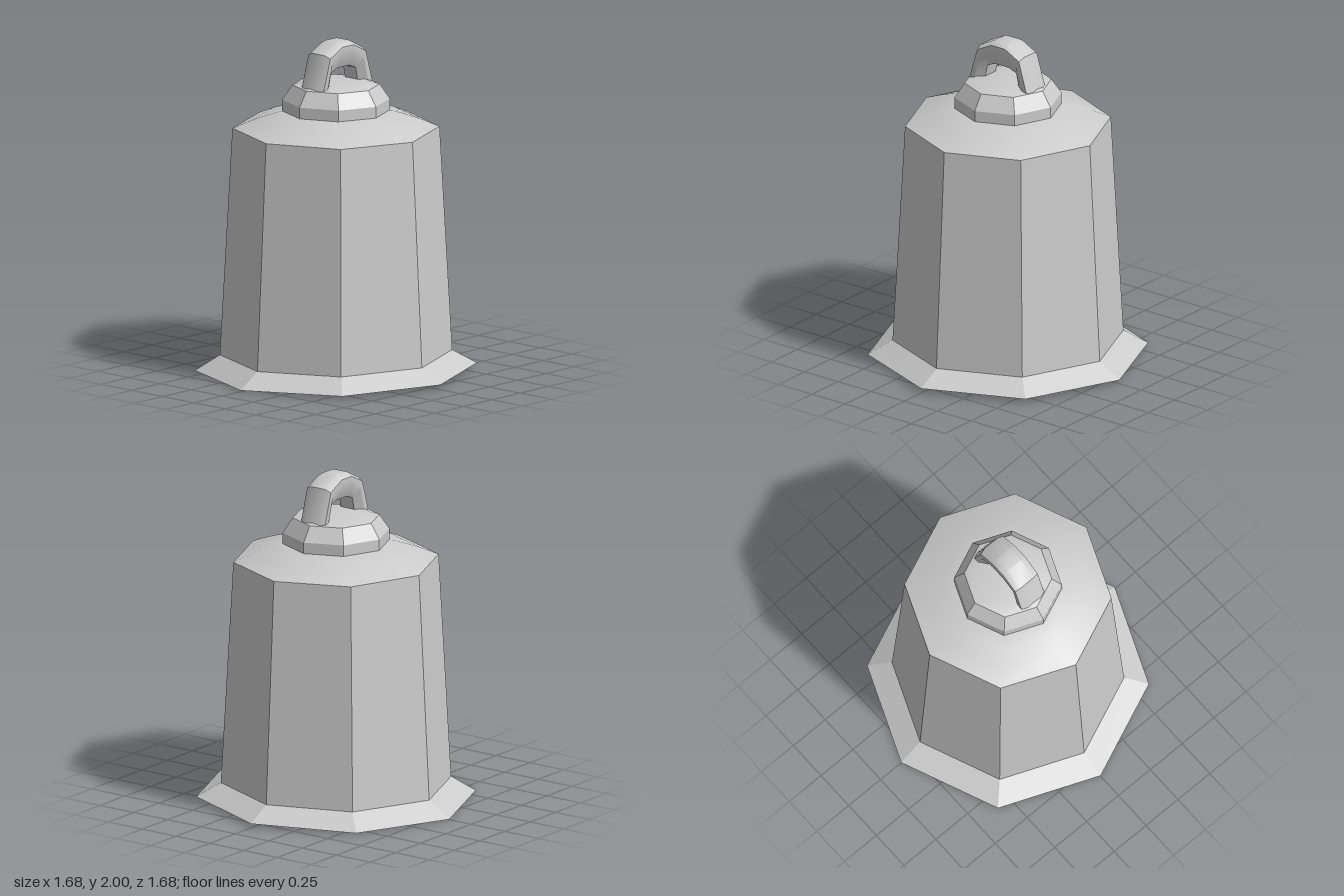
import * as THREE from 'three';
import { toCreasedNormals } from 'three/addons/utils/BufferGeometryUtils.js';

const SIDES = 8;

// Skins a list of closed rings (arrays of Vector3) and creases the edges.
function loft(rings, crease) {
  const n = rings[0].length;
  const positions = rings.flatMap(ring => ring.flatMap(p => p.toArray()));
  const index = [];
  for (let r = 0; r < rings.length - 1; r++) {
    for (let i = 0; i < n; i++) {
      const a = r * n + i, b = r * n + (i + 1) % n;
      index.push(a, b, b + n, a, b + n, a + n);
    }
  }
  const geometry = new THREE.BufferGeometry();
  geometry.setAttribute('position', new THREE.Float32BufferAttribute(positions, 3));
  geometry.setIndex(index);
  return toCreasedNormals(geometry, crease);
}

// Octagonal ring with corners on the axes; tilt leans its plane slightly.
function octagon(radius, y, tilt = 0) {
  return Array.from({ length: SIDES }, (_, i) => {
    const angle = i / SIDES * Math.PI * 2;
    const x = radius * Math.sin(angle), z = radius * Math.cos(angle);
    return new THREE.Vector3(x, y + tilt * (0.016 * x - 0.01 * z), z);
  });
}

export function createModel() {
  const model = new THREE.Group();
  const material = new THREE.MeshStandardMaterial({ color: 0xcccccc });
  const add = (name, rings, crease) => {
    const mesh = new THREE.Mesh(loft(rings, crease), material);
    mesh.name = name;
    model.add(mesh);
  };

  // Flared rim with a closed, slightly uneven underside
  add('rim', [octagon(0.001, 0.016, 1), octagon(0.838, 0.016, 1), octagon(0.69, 0.103, 0.7)], 0.3);

  // Tapered eight-sided wall
  add('bellBody', [octagon(0.69, 0.103, 0.7), octagon(0.615, 1.47)], 0.3);

  // Softly shaded shoulder
  add('shoulder', [[0.615, 1.47], [0.5, 1.517], [0.4, 1.55], [0.3, 1.578], [0.001, 1.585]]
    .map(([r, y]) => octagon(r, y)), 0.6);

  // Crown block with a bevelled edge and shallow domed top
  add('crown', [[0.32, 1.572], [0.32, 1.64], [0.26, 1.73], [0.2, 1.748], [0.001, 1.752]]
    .map(([r, y]) => octagon(r, y)), 0.5);

  // Hanging loop: outer and inner arch outlines as [z, y], mirrored front to back
  const half = (points) => [...points, ...points.map(([z, y]) => [-z, y]).reverse()];
  const outer = half([[0.24, 1.7], [0.165, 1.94], [0.05, 2]]);
  const inner = half([[0.135, 1.7], [0.108, 1.825], [0.05, 1.847]]);
  // Cross-section as [x, share of the way from outer to inner]
  const section = [[0.05, 0], [0.088, 0.15], [0.088, 0.48], [0.05, 1],
    [-0.05, 1], [-0.088, 0.48], [-0.088, 0.15], [-0.05, 0]];
  const loopRings = outer.map(([z, y], i) => section.map(([x, t]) => new THREE.Vector3(
    x + 0.009,
    THREE.MathUtils.lerp(y, inner[i][1], t),
    THREE.MathUtils.lerp(z, inner[i][0], t))));
  add('hangingLoop', loopRings, 0.6);

  return model;
}
